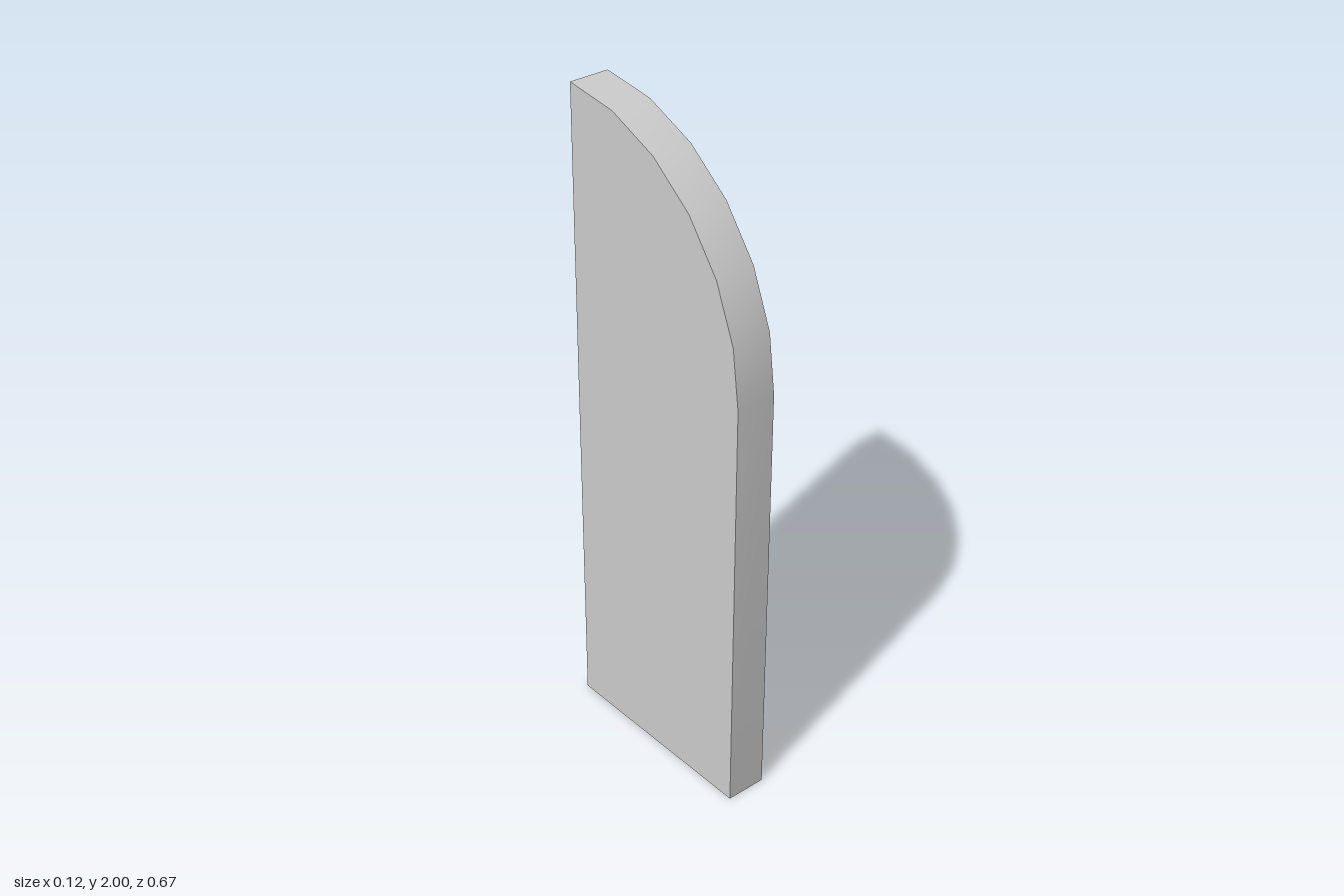
import * as THREE from 'three';
import { toCreasedNormals } from 'three/addons/utils/BufferGeometryUtils.js';

const HALF_DEPTH = 0.333;
const THICKNESS = 0.124;
const SHOULDER = 1.32; // height where the curved top begins
const HEIGHT = 2;
const STEPS = 6;

export function createModel() {
  const group = new THREE.Group();
  group.name = 'curvedPanel';

  // Side profile: straight walls with a quarter-ellipse front top corner
  const points = [new THREE.Vector2(-HALF_DEPTH, 0), new THREE.Vector2(HALF_DEPTH, 0)];
  for (let i = 0; i <= STEPS; i++) {
    const a = (i / STEPS) * Math.PI / 2;
    points.push(new THREE.Vector2(
      -HALF_DEPTH + 2 * HALF_DEPTH * Math.cos(a),
      SHOULDER + (HEIGHT - SHOULDER) * Math.sin(a)
    ));
  }

  // Extrude to the thickness, then turn the profile to face sideways
  const geometry = new THREE.ExtrudeGeometry(new THREE.Shape(points), {
    depth: THICKNESS,
    bevelEnabled: false,
  });
  geometry.translate(0, 0, -THICKNESS / 2);
  geometry.rotateY(-Math.PI / 2);

  // Smooth along the curve, sharp at the panel edges
  const panel = new THREE.Mesh(
    toCreasedNormals(geometry, Math.PI / 6),
    new THREE.MeshStandardMaterial({ color: 0xcccccc })
  );
  panel.name = 'panel';
  group.add(panel);
  return group;
}
